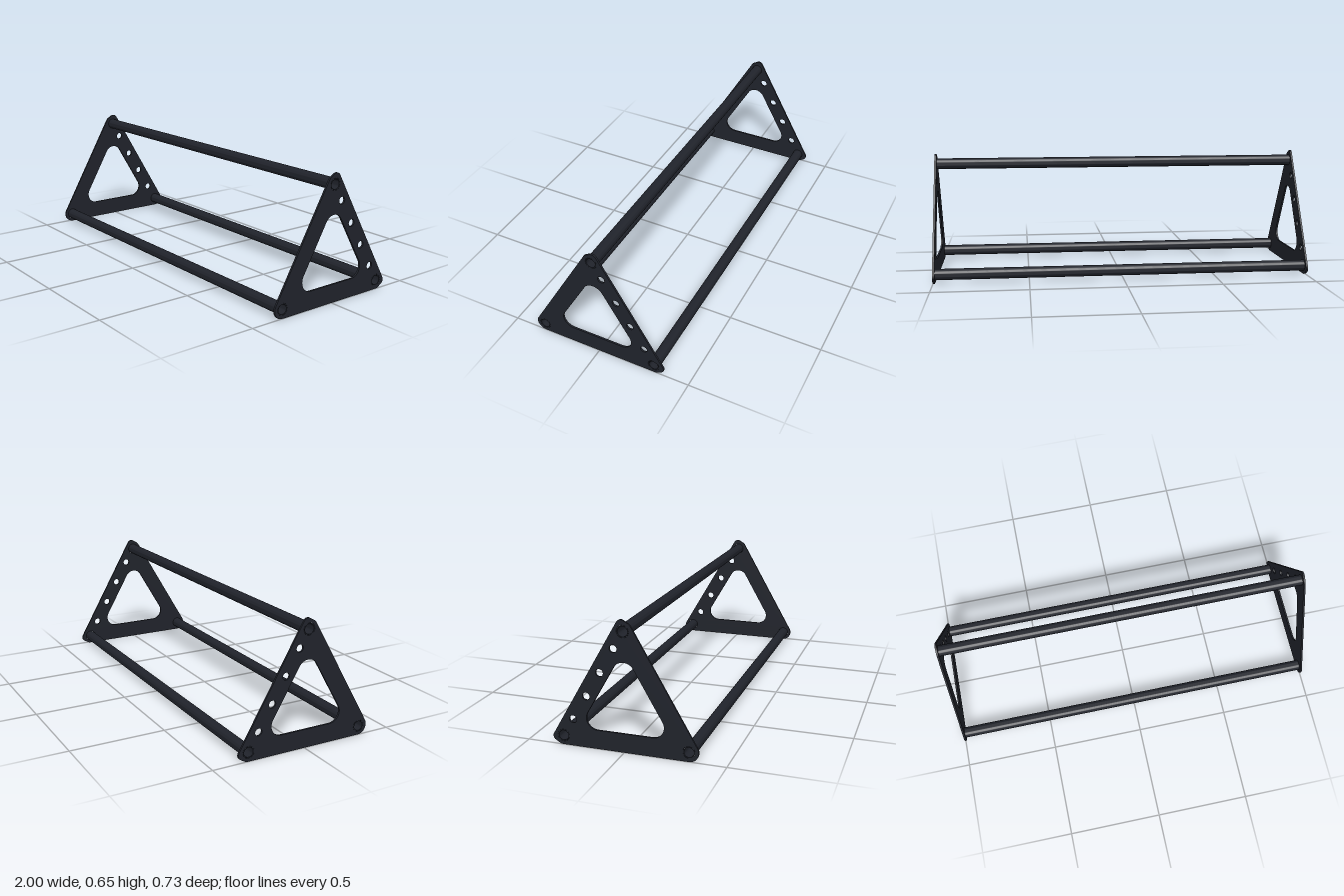
import * as THREE from 'three';
import { toCreasedNormals } from 'three/addons/utils/BufferGeometryUtils.js';

const HALF = 1, THICK = 0.01;        // half length, plate thickness
const MARGIN = 0.047;                // tube centre to plate edge
const TUBE_R = 0.0292, BORE_R = 0.0245, SOCKET_R = 0.03;

// tube centres in the plate plane: shape x is -z, shape y is y
const LEFT = [-0.32, 0.047], RIGHT = [0.311, 0.047], TOP = [-0.0045, 0.594];

const material = new THREE.MeshStandardMaterial({ color: 0x20232b });

// Convex counter-clockwise polygon with filleted corners [x, y, radius]
function rounded(path, corners) {
  const n = corners.length;
  const normal = (a, b) => new THREE.Vector2(b[1] - a[1], a[0] - b[0]).normalize();
  corners.forEach((p, i) => {
    const n1 = normal(corners[(i + n - 1) % n], p);
    const n2 = normal(p, corners[(i + 1) % n]);
    const k = p[2] / (1 + n1.dot(n2));
    path.absarc(p[0] - (n1.x + n2.x) * k, p[1] - (n1.y + n2.y) * k, p[2], n1.angle(), n2.angle(), false);
  });
  path.closePath();
  return path;
}

function circle(path, [x, y], r) {
  return path.absarc(x, y, r, 0, Math.PI * 2, false);
}

// Extrude along +x, centred on x = 0
function extrudeX(shape, depth) {
  const g = new THREE.ExtrudeGeometry(shape, { depth, bevelEnabled: false, curveSegments: 32 });
  g.translate(0, 0, -depth / 2);
  g.rotateY(Math.PI / 2);
  return toCreasedNormals(g, 0.5);
}

// Corner at a distance and angle from a tube centre
function corner([x, y], distance, degrees, radius) {
  const a = THREE.MathUtils.degToRad(degrees);
  return [x + distance * Math.cos(a), y + distance * Math.sin(a), radius];
}

function plateShape() {
  const blunt = MARGIN / Math.cos(Math.PI / 12);
  const square = MARGIN * Math.SQRT2;
  // one fully round corner, two squared-off ones
  const shape = rounded(new THREE.Shape(), [
    corner(LEFT, MARGIN * 2, 210, MARGIN),
    corner(RIGHT, blunt, -75, 0.03),
    corner(RIGHT, square, -15, 0.025),
    corner(TOP, square, 75, 0.025),
    corner(TOP, blunt, 135, 0.03),
  ]);
  // large window
  shape.holes.push(rounded(new THREE.Path(), [
    [-0.24, 0.095, 0.056], [0.23, 0.095, 0.056], [-0.005, 0.502, 0.056],
  ]));
  // tube sockets
  for (const c of [LEFT, RIGHT, TOP]) shape.holes.push(circle(new THREE.Path(), c, SOCKET_R));
  // row of small holes along the back edge
  for (let i = 0; i < 4; i++) {
    shape.holes.push(circle(new THREE.Path(), [0.0445 + i * 0.0715, 0.508 - i * 0.124], 0.0185));
  }
  return shape;
}

export function createModel() {
  const model = new THREE.Group();
  model.name = 'triangularFrame';

  // end plates
  const plate = extrudeX(plateShape(), THICK);
  for (const [name, side] of [['leftEndPlate', 1], ['rightEndPlate', -1]]) {
    const mesh = new THREE.Mesh(plate, material);
    mesh.name = name;
    mesh.position.x = side * (HALF - THICK / 2);
    model.add(mesh);
  }

  // hollow tubes
  const ring = circle(new THREE.Shape(), [0, 0], TUBE_R);
  ring.holes.push(circle(new THREE.Path(), [0, 0], BORE_R));
  const tube = extrudeX(ring, HALF * 2);
  for (const [name, c] of [['frontTube', LEFT], ['backTube', RIGHT], ['topTube', TOP]]) {
    const mesh = new THREE.Mesh(tube, material);
    mesh.name = name;
    mesh.position.set(0, c[1], -c[0]);
    model.add(mesh);
  }
  return model;
}
